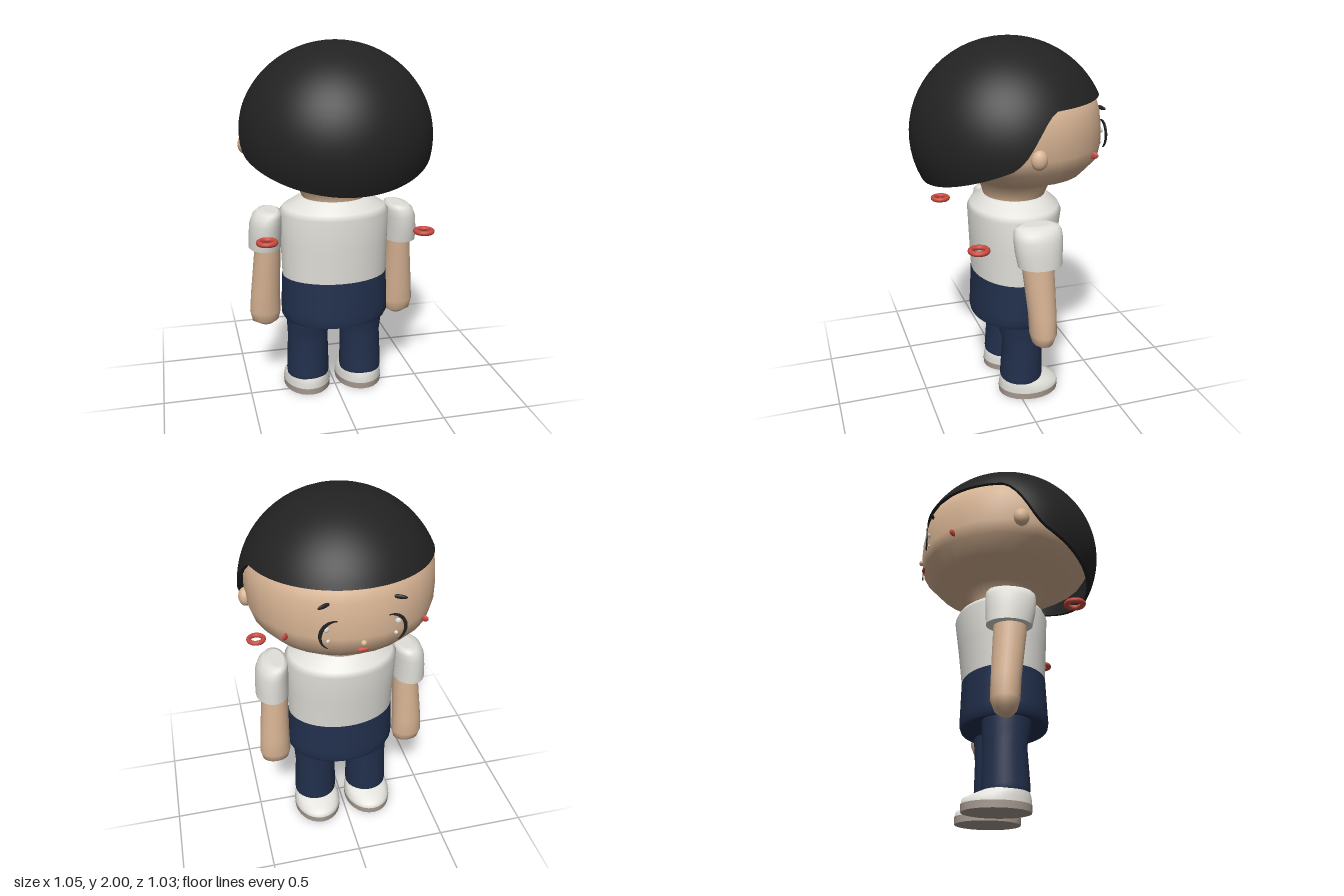
import * as THREE from 'three';

const mat = (name, color, side = THREE.FrontSide) => {
  const m = new THREE.MeshStandardMaterial({ color, side });
  m.name = name;
  return m;
};

// Surface through rows of points; closed around each row
function gridGeometry(rows, flip) {
  const n = rows[0].length, pos = rows.flat(2 - 1).flatMap(p => p), idx = [];
  for (let i = 0; i < rows.length - 1; i++) for (let j = 0; j < n; j++) {
    const a = i * n + j, b = i * n + (j + 1) % n, c = a + n, d = b + n;
    if (flip) idx.push(a, b, c, b, d, c);
    else idx.push(a, c, b, b, c, d);
  }
  return { pos, idx, n };
}

function finish({ pos, idx }) {
  const g = new THREE.BufferGeometry();
  g.setAttribute('position', new THREE.Float32BufferAttribute(pos, 3));
  g.setIndex(idx);
  g.computeVertexNormals();
  return g;
}

// Capped body from elliptical sections [y, rx, rz, cx, cz], bottom to top
function loft(sections, side = 1, n = 28) {
  const rows = sections.map(([y, rx, rz, cx, cz]) => Array.from({ length: n }, (_, j) => {
    const a = j / n * Math.PI * 2;
    return [cx * side + rx * Math.cos(a), y, cz + rz * Math.sin(a)];
  }));
  const g = gridGeometry(rows);
  [rows[0], rows[rows.length - 1]].forEach((row, top) => {
    const [y, , , cx, cz] = sections[top ? sections.length - 1 : 0];
    const base = g.pos.length / 3;
    g.pos.push(...row.flat(), cx * side, y, cz);
    for (let j = 0; j < n; j++) {
      const k = (j + 1) % n;
      g.idx.push(base + n, base + (top ? k : j), base + (top ? j : k));
    }
  });
  return finish(g);
}

// Height of the hair edge for a given depth
const RIM = [[-0.6, 1.715], [-0.1, 1.7], [-0.05, 1.67], [0, 1.6], [0.08, 1.47], [0.13, 1.43], [0.2, 1.4], [0.5, 1.28], [0.6, 1.28]];
function rimHeight(z) {
  const i = RIM.findIndex(p => p[0] > z);
  const [z0, y0] = RIM[i - 1], [z1, y1] = RIM[i];
  return y0 + (y1 - y0) * (z - z0) / (z1 - z0);
}

// Domed hair shell with a slanted edge and an inner lining
function hairGeometry() {
  const n = 96, steps = 20, rows = [];
  const row = (t, s) => Array.from({ length: n }, (_, j) => {
    const a = j / n * Math.PI * 2;
    const th = t * Math.acos((rimHeight(0.5 * Math.sin(a)) - 1.5) / 0.5);
    const r = 0.522 * s * Math.sin(th);
    return [r * Math.cos(a), 1.5 + 0.5 * (t === 1 ? 1 : s) * Math.cos(th), r * Math.sin(a)];
  });
  for (let i = 0; i <= steps; i++) rows.push(row(i / steps, 1));
  rows.push(row(1, 1), row(1, 0.96));
  for (let i = steps; i >= 0; i--) rows.push(row(i / steps, 0.96));
  return finish(gridGeometry(rows, true));
}

// Tapered eyelash crescent, open toward the nose
function lashGeometry(side) {
  const pts = [], n = 16;
  const arc = (i, k) => {
    const t = i / n, a = -1.2 + 3.1 * t, w = 1 - k * Math.sin(Math.PI * t);
    pts.push(new THREE.Vector2(side * 0.07 * w * Math.cos(a), 0.075 * w * Math.sin(a)));
  };
  for (let i = 0; i <= n; i++) arc(i, 0);
  for (let i = n - 1; i > 0; i--) arc(i, 0.24);
  return new THREE.ExtrudeGeometry(new THREE.Shape(pts), { depth: 0.008, bevelEnabled: false });
}

export function createModel() {
  const model = new THREE.Group();
  const skin = mat('skin', 0xd9b595), black = mat('black', 0x222222);
  const white = mat('white', 0xe2e1db), navy = mat('navy', 0x22304d);
  const red = mat('red', 0xc94a40), sole = mat('sole', 0xa89c92);

  const add = (name, geometry, material, x = 0, y = 0, z = 0) => {
    const m = new THREE.Mesh(geometry, material);
    m.name = name;
    m.position.set(x, y, z);
    model.add(m);
    return m;
  };
  const blob = (name, material, size, x, y, z, turn = 0) => {
    const m = add(name, new THREE.SphereGeometry(1, 16, 12), material, x, y, z);
    m.scale.set(...size);
    m.rotation.y = turn;
    return m;
  };

  // Head, neck and hair
  add('head', loft([
    [1.13, 0.17, 0.165, 0, -0.035], [1.17, 0.18, 0.17, 0, -0.035], [1.25, 0.215, 0.2, 0, -0.04],
    [1.31, 0.385, 0.35, 0, -0.05], [1.39, 0.465, 0.465, 0, -0.015], [1.46, 0.488, 0.49, 0, -0.002],
    [1.56, 0.492, 0.488, 0, 0], [1.64, 0.485, 0.476, 0, 0], [1.71, 0.455, 0.455, 0, 0],
    [1.82, 0.36, 0.36, 0, 0], [1.92, 0.2, 0.2, 0, 0],
  ]), skin);
  add('hair', hairGeometry(), black);

  // Nose and mouth
  blob('nose', skin, [0.016, 0.016, 0.014], 0, 1.435, -0.493);
  blob('mouth', red, [0.032, 0.011, 0.01], 0, 1.39, -0.479);

  // Torso and shorts
  add('shirt', loft([
    [0.72, 0.297, 0.222, 0, -0.02], [0.9, 0.303, 0.237, 0, -0.026], [1.08, 0.308, 0.253, 0, -0.034],
    [1.11, 0.285, 0.24, 0, -0.034], [1.165, 0.19, 0.175, 0, -0.035],
  ], 1, 40), white);
  add('shorts', loft([
    [0.46, 0.29, 0.225, 0, -0.015], [0.485, 0.305, 0.232, 0, -0.017],
    [0.53, 0.307, 0.23, 0, -0.018], [0.72, 0.299, 0.223, 0, -0.02],
  ], 1, 40), navy);

  for (const s of [1, -1]) {
    const label = s > 0 ? 'left' : 'right';

    // Face details
    blob(label + 'Ear', skin, [0.035, 0.05, 0.042], s * 0.488, 1.475, 0);
    add(label + 'Eyelash', lashGeometry(s), black, s * 0.145, 1.49, -0.481);
    blob(label + 'EyeUpperGlint', white, [0.014, 0.014, 0.006], s * 0.172, 1.515, -0.464, s * 0.35);
    blob(label + 'EyeLowerGlint', white, [0.01, 0.01, 0.006], s * 0.165, 1.45, -0.463, s * 0.35);
    const brow = blob(label + 'Eyebrow', black, [0.036, 0.011, 0.008], s * 0.18, 1.637, -0.452, s * 0.35);
    brow.rotation.z = -s * 0.1;
    blob(label + 'Cheek', red, [0.028, 0.018, 0.008], s * 0.345, 1.432, -0.345, s * 0.78);

    // Sleeve and arm
    add(label + 'Sleeve', loft([
      [0.885, 0.09, 0.118, 0.39, -0.05], [0.96, 0.09, 0.127, 0.388, -0.043], [1.03, 0.088, 0.131, 0.383, -0.04],
      [1.07, 0.08, 0.128, 0.375, -0.04], [1.092, 0.065, 0.115, 0.365, -0.04], [1.1, 0.04, 0.085, 0.355, -0.04],
    ], s), white);
    add(label + 'Arm', loft([
      [0.413, 0.035, 0.03, 0.39, -0.065], [0.435, 0.075, 0.055, 0.395, -0.068], [0.49, 0.088, 0.073, 0.395, -0.071],
      [0.6, 0.083, 0.075, 0.392, -0.066], [0.85, 0.073, 0.085, 0.378, -0.045], [0.95, 0.07, 0.085, 0.375, -0.04],
    ], s), skin);

    // Leg and shoe
    add(label + 'Leg', loft([
      [0.095, 0.12, 0.118, 0.158, -0.03], [0.12, 0.123, 0.121, 0.158, -0.03], [0.33, 0.116, 0.112, 0.156, -0.035],
      [0.4, 0.12, 0.124, 0.156, -0.028], [0.5, 0.122, 0.13, 0.156, -0.025],
    ], s), navy);
    add(label + 'ShoeSole', loft([
      [0, 0.135, 0.173, 0.157, -0.075], [0.036, 0.137, 0.175, 0.157, -0.075],
    ], s), sole);
    add(label + 'Shoe', loft([
      [0.036, 0.135, 0.173, 0.157, -0.075], [0.062, 0.133, 0.17, 0.157, -0.073],
      [0.085, 0.126, 0.143, 0.157, -0.05], [0.104, 0.116, 0.116, 0.157, -0.03],
    ], s), white);

    // Floating ring behind the shoulder
    const ring = add(label + 'Ring', new THREE.TorusGeometry(0.043, 0.014, 12, 28), red, s * 0.42, 1.02, 0.285);
    ring.rotation.x = Math.PI / 2;
  }
  return model;
}
